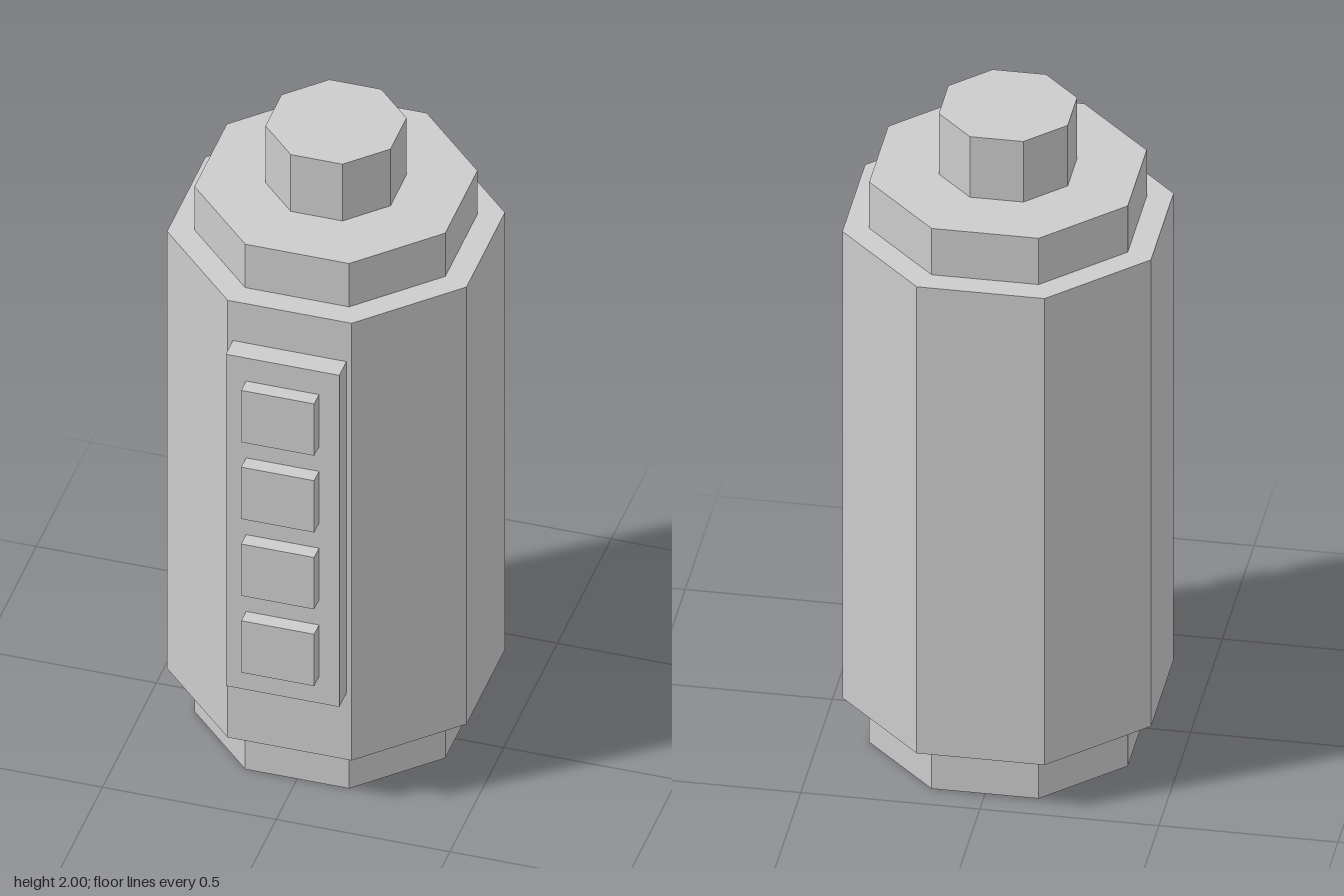
import * as THREE from 'three';

export function createModel() {
  const model = new THREE.Group();
  const grey = new THREE.MeshStandardMaterial({ color: 0xcccccc, flatShading: true });
  grey.name = 'light grey';
  const axisZ = -0.056;

  function add(name, geometry, x, y, z) {
    const mesh = new THREE.Mesh(geometry, grey);
    mesh.name = name;
    mesh.position.set(x, y, z);
    model.add(mesh);
  }

  // Octagonal prism with a flat side facing front, sized across its flats
  function octagon(name, halfWidth, bottom, top) {
    const radius = halfWidth / Math.cos(Math.PI / 8);
    const geometry = new THREE.CylinderGeometry(radius, radius, top - bottom, 8, 1, false, Math.PI / 8);
    add(name, geometry, 0, (bottom + top) / 2, axisZ);
  }

  // Stacked body
  octagon('base', 0.361, 0, 0.153);
  octagon('body', 0.431, 0.153, 1.656);
  octagon('shoulder', 0.361, 1.656, 1.805);
  octagon('topKnob', 0.18, 1.805, 2);

  // Front panel with a column of raised blocks
  add('frontPanel', new THREE.BoxGeometry(0.327, 1.14, 0.066), 0, 0.951, 0.408);
  for (let i = 0; i < 4; i++) {
    add('panelBlock', new THREE.BoxGeometry(0.21, 0.178, 0.045), 0, 0.561 + i * 0.264, 0.4635);
  }

  return model;
}
